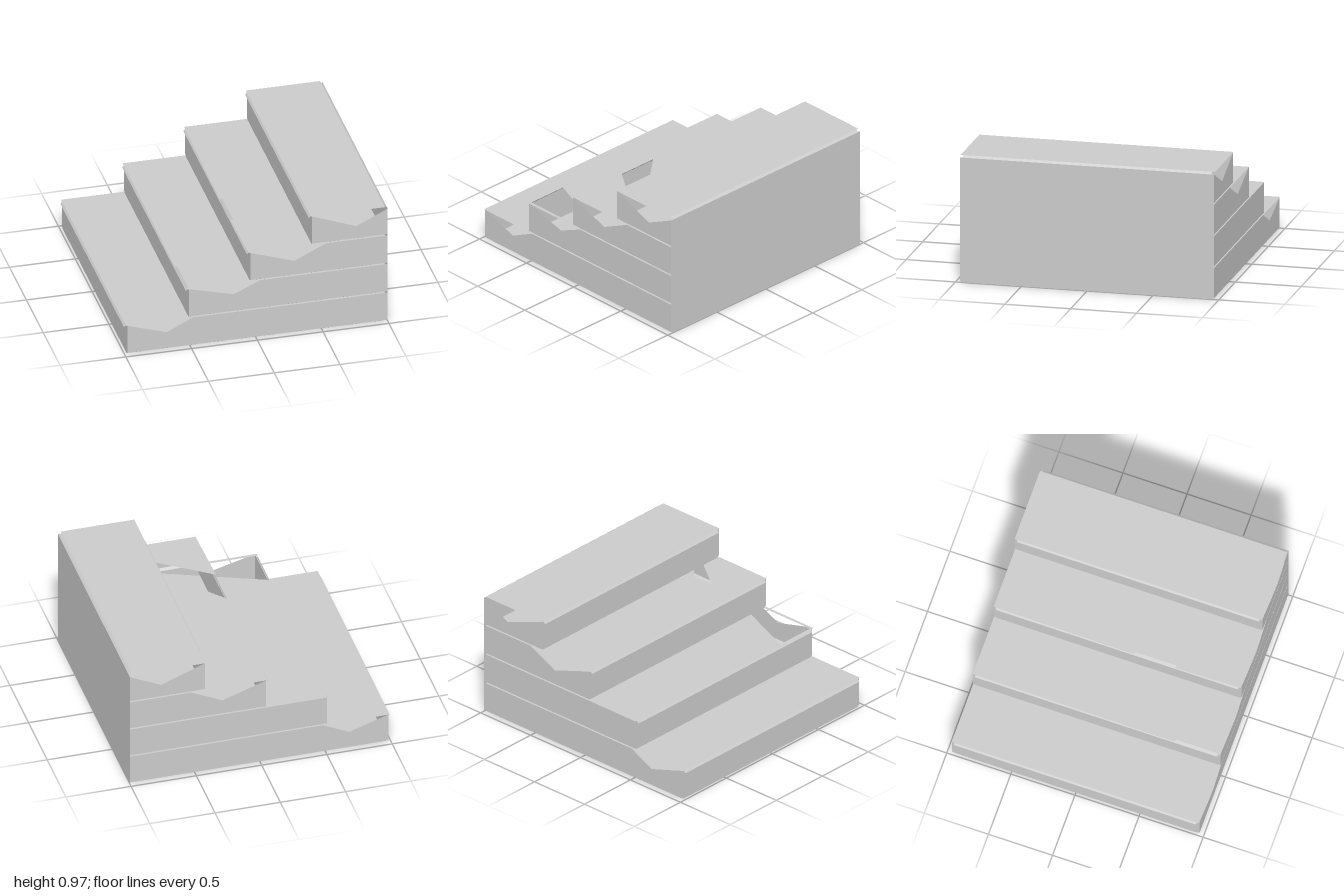
import * as THREE from 'three';

const W = 0.965;      // half width of treads and cheeks
const INNER = 0.945;  // half width of risers and back
const BACK = 1;
const RISE = 0.2425;

const material = new THREE.MeshStandardMaterial({
  color: 0xcccccc, flatShading: true, side: THREE.DoubleSide,
});

// front: riser position; notch: low point and far end of the open gap in the cheek;
// bite: wedge missing from the tread, as [x, z] corners
const steps = [
  { front: -0.98, notch: [-0.68, 0.145, -0.48], sides: [1, -1] },
  { front: -0.51, notch: [-0.17, 0.395, 0.03], sides: [1],
    bite: [[-0.53, 0.94], [0.29, 0.94], [-0.53, 0.61]] },
  { front: -0.045, notch: [0.29, 0.612, 0.53], sides: [1, -1],
    bite: [[-0.065, 0.45], [0.64, 0.95], [-0.065, 0.12]] },
  { front: 0.425, notch: [0.76, 0.84, 1], sides: [1, -1] },
];

// Flat panel from a list of 2D points
function panel(name, points) {
  const shape = new THREE.Shape(points.map(([x, y]) => new THREE.Vector2(x, y)));
  const mesh = new THREE.Mesh(new THREE.ShapeGeometry(shape), material);
  mesh.name = name;
  return mesh;
}

// Four-cornered strip in space
function strip(name, a, b, c, d) {
  const geometry = new THREE.BufferGeometry();
  geometry.setAttribute('position', new THREE.Float32BufferAttribute([...a, ...b, ...c, ...d], 3));
  geometry.setIndex([0, 1, 2, 0, 2, 3]);
  geometry.computeVertexNormals();
  const mesh = new THREE.Mesh(geometry, material);
  mesh.name = name;
  return mesh;
}

// Strip running across the width between two (x, y) points
function acrossStrip(name, [x0, y0], [x1, y1], z = INNER) {
  return strip(name, [x0, y0, -z], [x0, y0, z], [x1, y1, z], [x1, y1, -z]);
}

function makeStep({ front, notch, sides, bite = [] }, i) {
  const step = new THREE.Group();
  step.name = `step${i + 1}`;
  const bottom = i * RISE;
  const top = bottom + RISE;
  const nose = front - 0.02;
  const last = i === steps.length - 1;

  // Tread sheet, overhanging at the front
  const tread = panel('tread', [
    [nose + 0.01, -W], [0.98, -W], [0.98, W], [nose + 0.01, W], ...bite,
  ]);
  tread.rotation.x = Math.PI / 2;
  tread.position.y = top;
  step.add(tread);

  // Curled nosing and riser
  step.add(acrossStrip('nosing', [front, top], [nose, top - 0.022]));
  step.add(acrossStrip('riser', [front, bottom], [front, top - 0.005]));

  // Side cheeks with the open gap under the tread, and the slot below them
  for (const s of [1, -1]) {
    const backTop = last ? top - 0.015 : top;
    const topEdge = sides.includes(s)
      ? [[BACK, backTop], ...(last ? [] : [[notch[2], top]]), [notch[0], notch[1]], [front, top]]
      : [[BACK, backTop], [front, top]];
    const cheek = panel('cheek', [[front, bottom + 0.012], [BACK, bottom + 0.012], ...topEdge]);
    cheek.position.z = s * W;
    step.add(cheek);
    step.add(strip('lowerBevel',
      [front, bottom, s * INNER], [BACK, bottom, s * INNER],
      [BACK, bottom + 0.012, s * W], [front, bottom + 0.012, s * W]));
    step.add(strip('frontCorner',
      [front, bottom, s * INNER], [front, bottom + 0.012, s * W],
      [front, top, s * W], [front, top, s * INNER]));
  }
  return step;
}

export function createModel() {
  const model = new THREE.Group();
  model.name = 'staircase';
  steps.forEach((s, i) => model.add(makeStep(s, i)));

  // Back wall with a bevel up to the top tread, and the underside
  const top = RISE * steps.length;
  model.add(acrossStrip('backWall', [BACK, 0], [BACK, top - 0.015]));
  model.add(acrossStrip('backBevel', [BACK, top - 0.015], [0.98, top]));
  model.add(acrossStrip('underside', [steps[0].front, 0], [BACK, 0]));
  for (const s of [1, -1]) {
    model.add(strip('backCorner', [BACK, 0, s * INNER], [BACK, 0.012, s * W],
      [BACK, top - 0.015, s * W], [BACK, top - 0.015, s * INNER]));
  }
  return model;
}
